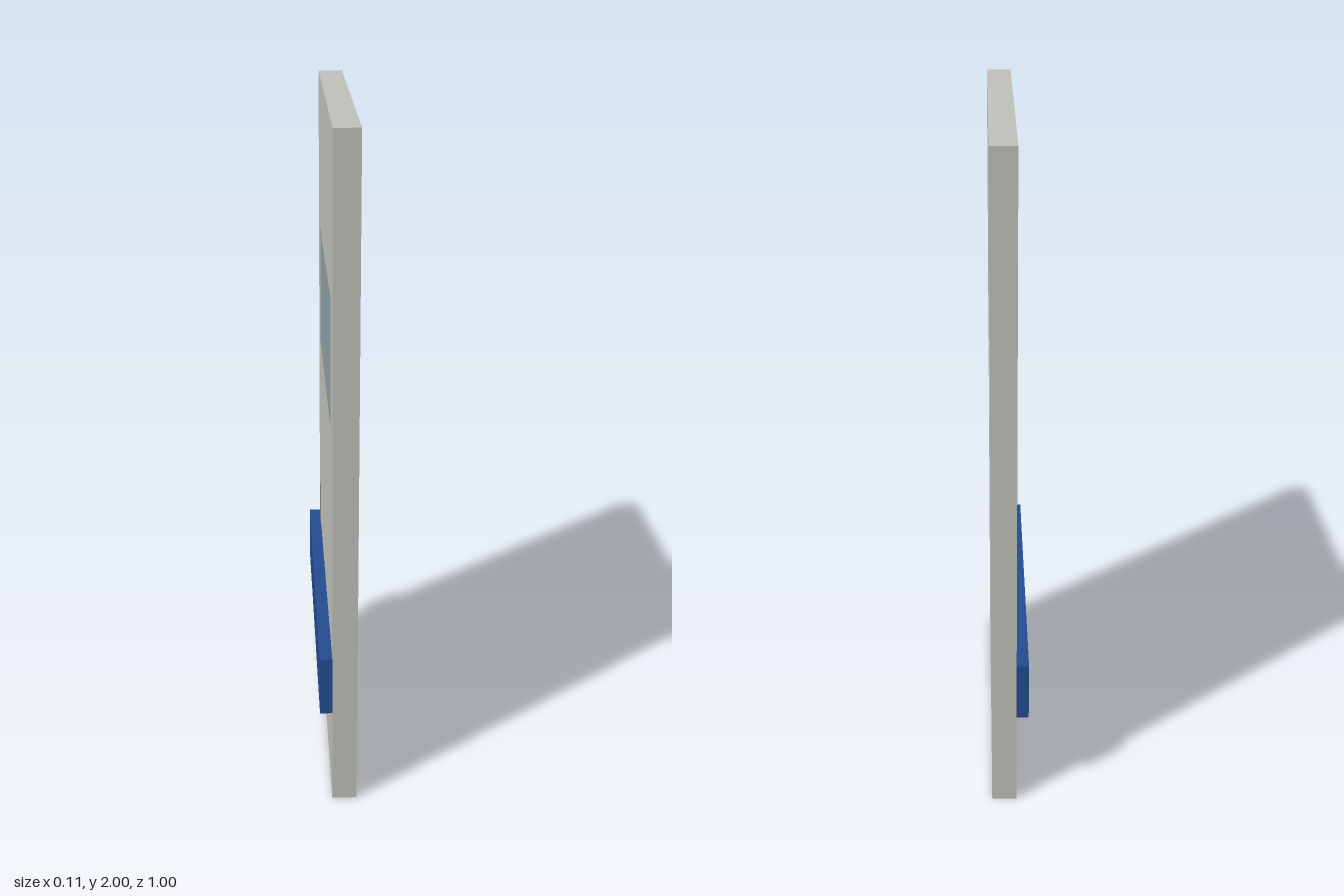
import * as THREE from 'three';

const material = (name, color) => {
  const m = new THREE.MeshStandardMaterial({ color });
  m.name = name;
  return m;
};

export function createModel() {
  const model = new THREE.Group();
  model.name = 'doorPanel';
  const grey = material('panelGrey', 0xc2c2bc);
  const glass = material('windowGlass', 0x8fa1a6);
  const blue = material('railBlue', 0x234c90);
  const dark = material('slotGrey', 0x8e8f8e);

  // Box given by its limits on each axis
  const box = (name, mat, [x0, x1], [y0, y1], [z0, z1]) => {
    const mesh = new THREE.Mesh(new THREE.BoxGeometry(x1 - x0, y1 - y0, z1 - z0), mat);
    mesh.position.set((x0 + x1) / 2, (y0 + y1) / 2, (z0 + z1) / 2);
    mesh.name = name;
    model.add(mesh);
  };

  const back = -0.019, front = 0.054;
  const winY = [1.15, 1.525], winZ = [-0.39, 0.39];

  // Panel with a window opening, extruded through its thickness along x
  const rectangle = (Type, w, y0, y1) => new Type([
    new THREE.Vector2(-w, y0), new THREE.Vector2(w, y0),
    new THREE.Vector2(w, y1), new THREE.Vector2(-w, y1),
  ]);
  const outline = rectangle(THREE.Shape, 0.5, 0, 2);
  outline.holes.push(rectangle(THREE.Path, winZ[1], ...winY));
  const geometry = new THREE.ExtrudeGeometry(outline, { depth: front - back, bevelEnabled: false });
  geometry.rotateY(Math.PI / 2);
  const panel = new THREE.Mesh(geometry, grey);
  panel.position.x = back;
  panel.name = 'panel';
  model.add(panel);

  // Pane flush with the rail side and recessed on the other
  box('windowPane', glass, [back, 0.015], winY, winZ);

  // Bumper rail across the full width
  box('bumperRail', blue, [-0.055, back], [0.3, 0.48], [-0.5, 0.5]);

  // Narrow strip rising behind the rail
  box('strip', dark, [back - 0.002, back + 0.002], [0.44, 0.625], [-0.42, -0.39]);

  return model;
}
